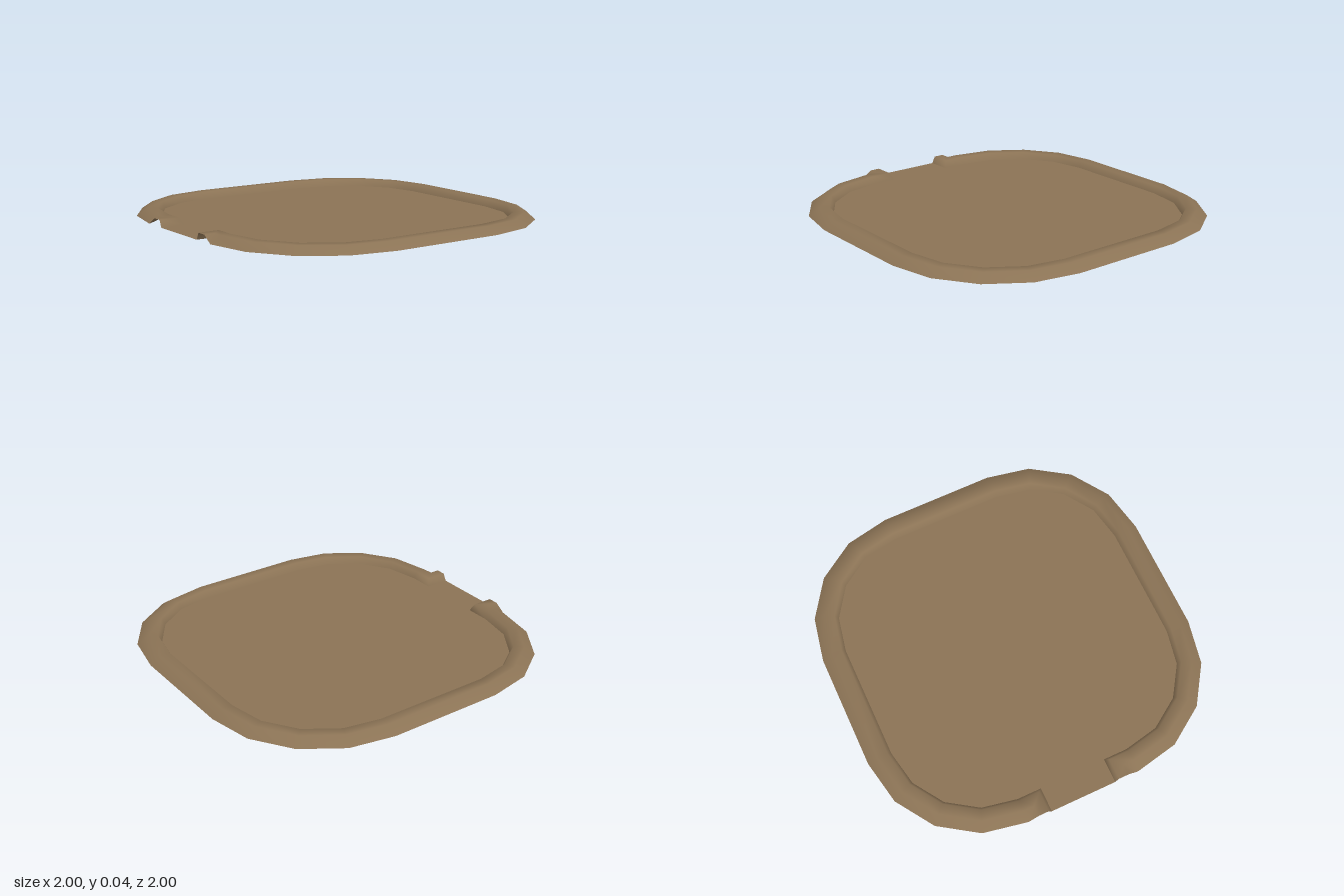
import * as THREE from 'three';
import { mergeVertices } from 'three/addons/utils/BufferGeometryUtils.js';

// rim cross-section: [distance inward from the outer edge, height]
const PROFILE = [[0, 0], [0.06, 0.04], [0.12, 0.04], [0.14, 0]];
const C = 1 / 3, R = 2 / 3, STEPS = 4;

// plan outline [x, z] inset by d, running from one side of the front gap round to the other
function outline(d) {
  const pts = [[C - d, 1], [C - d, 1 - d]];
  const centres = [[C, C], [C, -C], [-C, -C], [-C, C]];
  centres.forEach(([cx, cz], k) => {
    for (let s = 0; s <= STEPS; s++) {
      const a = (k + s / STEPS) * Math.PI / 2;
      pts.push([cx + Math.sin(a) * (R - d), cz + Math.cos(a) * (R - d)]);
    }
  });
  pts.push([d - C, 1 - d], [d - C, 1]);
  return pts;
}

// sweep the profile along the outline as an open shell
function rimGeometry() {
  const position = [], index = [];
  const rows = PROFILE.map(([d]) => outline(d));
  const n = rows[0].length;
  rows.forEach((row, j) => row.forEach(([x, z]) => position.push(x, PROFILE[j][1], z)));
  for (let j = 0; j < rows.length - 1; j++) {
    for (let i = 0; i < n - 1; i++) {
      const a = j * n + i, b = a + 1, c = a + n, d = c + 1;
      index.push(a, b, c, b, d, c);
    }
  }
  const raw = new THREE.BufferGeometry();
  raw.setAttribute('position', new THREE.Float32BufferAttribute(position, 3));
  raw.setIndex(index);
  const geometry = mergeVertices(raw, 1e-4);
  geometry.computeVertexNormals();
  return geometry;
}

export function createModel() {
  const group = new THREE.Group();
  group.name = 'shallowTray';
  const earth = new THREE.MeshStandardMaterial({ color: 0x8b7355, side: THREE.DoubleSide });
  earth.name = 'earth brown';

  // raised rim, turned outward at the front gap
  const rim = new THREE.Mesh(rimGeometry(), earth);
  rim.name = 'rim';

  // flat floor, including the channel through the gap
  const edge = outline(PROFILE[3][0]).map(([x, z]) => new THREE.Vector2(x, -z));
  const floor = new THREE.Mesh(new THREE.ShapeGeometry(new THREE.Shape(edge)).rotateX(-Math.PI / 2), earth);
  floor.name = 'floor';

  group.add(rim, floor);
  return group;
}
